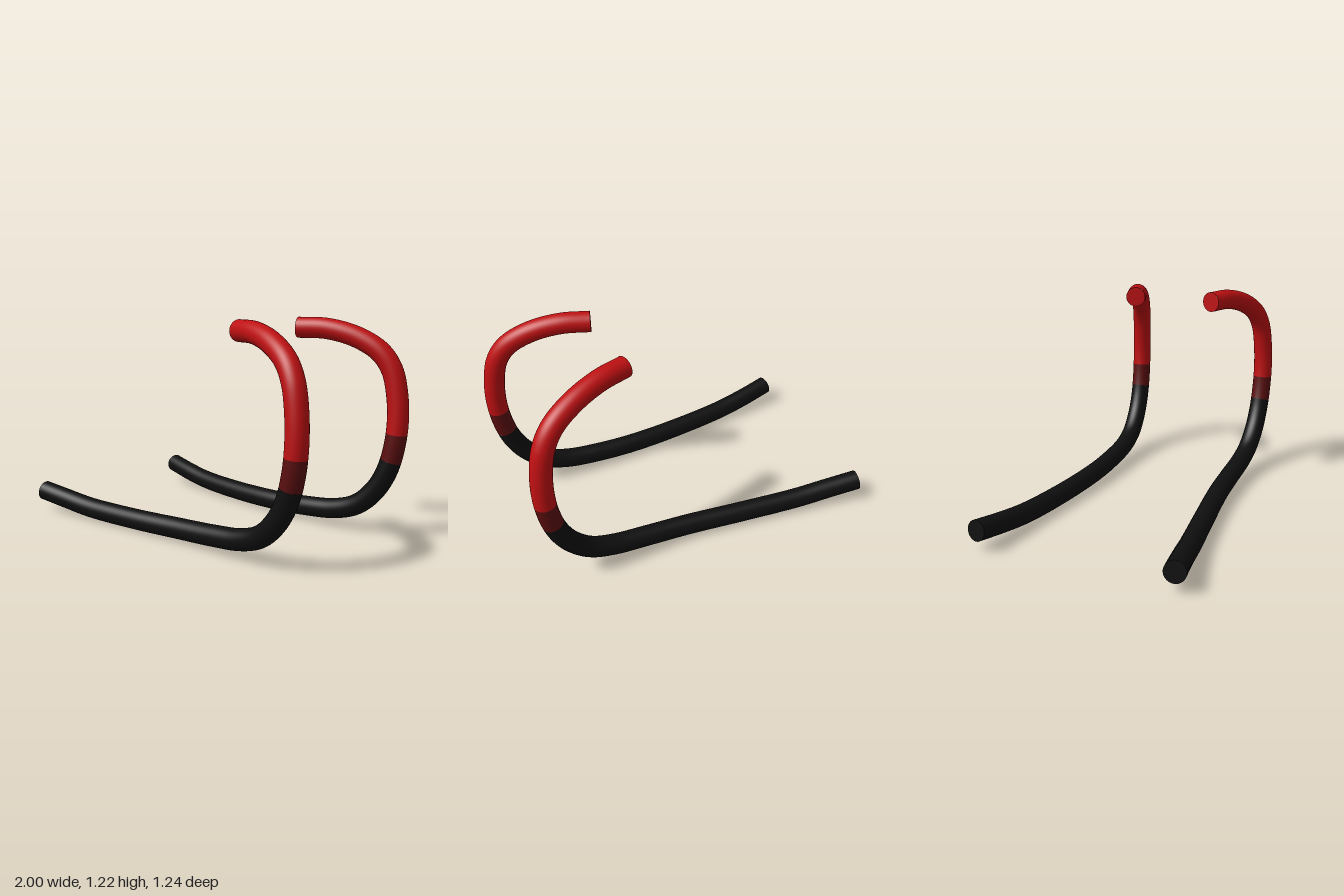
import * as THREE from 'three';

const RADIUS = 0.059;
const SIDES = 32;

// Centre line of one rail, from the low tail up to the curled grip
const PATH = [
  [-0.988, 0.121, 0.56], [-0.8, 0.094, 0.526], [-0.6, 0.071, 0.497], [-0.25, 0.063, 0.452],
  [0.1, 0.071, 0.417], [0.35, 0.085, 0.41], [0.56, 0.11, 0.414], [0.7, 0.16, 0.422],
  [0.81, 0.26, 0.431], [0.88, 0.38, 0.437], [0.92, 0.52, 0.441], [0.936, 0.67, 0.442],
  [0.928, 0.82, 0.437], [0.898, 0.95, 0.426], [0.835, 1.045, 0.403],
  [0.71, 1.122, 0.36], [0.55, 1.165, 0.304], [0.388, 1.169, 0.247],
];

// A stretch of a longer curve
class Section extends THREE.Curve {
  constructor(base, from, to) {
    super();
    Object.assign(this, { base, from, to });
  }
  getPoint(t, target = new THREE.Vector3()) {
    return this.base.getPointAt(this.from + (this.to - this.from) * t, target);
  }
}

function heightToU(curve, y) {
  let u = 0.4;
  while (u < 0.9 && curve.getPointAt(u).y < y) u += 0.0005;
  return u;
}

function endCap(curve, u, material, name) {
  const cap = new THREE.Mesh(new THREE.CircleGeometry(RADIUS, SIDES), material);
  const outward = curve.getTangentAt(u).multiplyScalar(u === 0 ? -1 : 1);
  cap.position.copy(curve.getPointAt(u));
  cap.quaternion.setFromUnitVectors(new THREE.Vector3(0, 0, 1), outward);
  cap.name = name;
  return cap;
}

function makeRail(side, mats) {
  const rail = new THREE.Group();
  const curve = new THREE.CatmullRomCurve3(
    PATH.map(([x, y, z]) => new THREE.Vector3(x, y, z * side)), false, 'centripetal');
  curve.arcLengthDivisions = 800;
  const low = heightToU(curve, 0.445);
  const high = heightToU(curve, 0.597);

  // Black runner, dark red band and red grip follow one continuous bend
  const sections = [
    ['runner', 0, low, mats.black, 80],
    ['band', low, high, mats.darkRed, 10],
    ['grip', high, 1, mats.red, 60],
  ];
  for (const [name, from, to, material, steps] of sections) {
    const tube = new THREE.TubeGeometry(new Section(curve, from, to), steps, RADIUS, SIDES);
    const mesh = new THREE.Mesh(tube, material);
    mesh.name = name;
    rail.add(mesh);
  }
  rail.add(endCap(curve, 0, mats.black, 'runnerEnd'), endCap(curve, 1, mats.red, 'gripEnd'));
  return rail;
}

export function createModel() {
  const material = (name, color) => {
    const m = new THREE.MeshStandardMaterial({ color });
    m.name = name;
    return m;
  };
  const mats = {
    black: material('black', 0x0f0f0f),
    darkRed: material('dark red', 0x5a0e0f),
    red: material('red', 0xbe1012),
  };

  const model = new THREE.Group();
  model.name = 'pairOfBentRails';
  for (const [name, side] of [['frontRail', 1], ['backRail', -1]]) {
    const rail = makeRail(side, mats);
    rail.name = name;
    model.add(rail);
  }
  return model;
}
